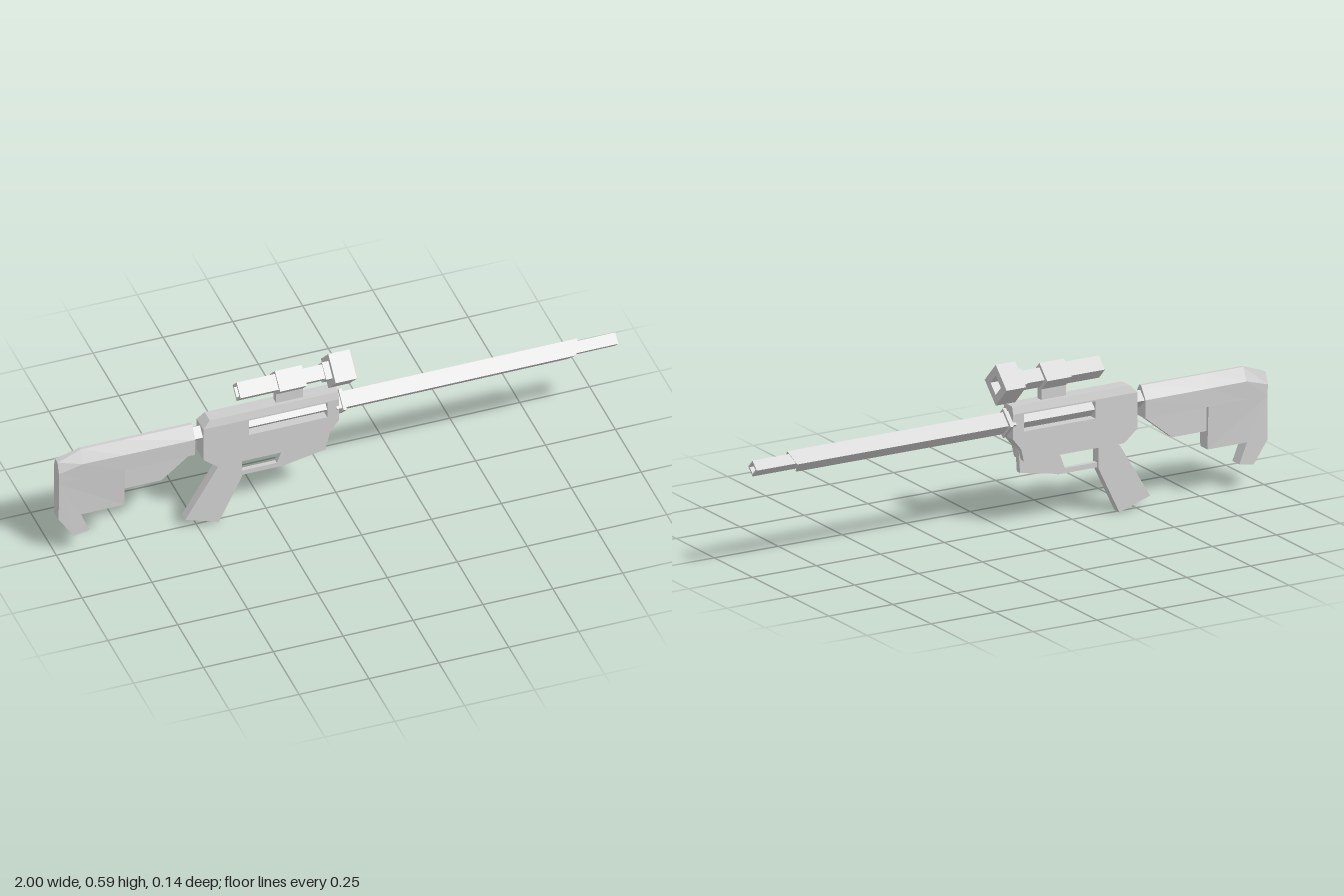
import * as THREE from 'three';

const AXIS_Y = 0.383; // barrel line
const SCOPE_Y = 0.521; // scope line

export function createModel() {
  const group = new THREE.Group();
  const material = new THREE.MeshStandardMaterial({ color: 0xcccccc, flatShading: true });

  const add = (name, geometry) => {
    const mesh = new THREE.Mesh(geometry, material);
    mesh.name = name;
    group.add(mesh);
    return mesh;
  };

  // Side outline [x, y] extruded evenly about z = 0, with an optional window
  const slab = (points, half, window) => {
    const shape = new THREE.Shape(points.map(p => new THREE.Vector2(...p)));
    if (window) shape.holes.push(new THREE.Path(window.map(p => new THREE.Vector2(...p))));
    return new THREE.ExtrudeGeometry(shape, { depth: 2 * half, bevelEnabled: false })
      .translate(0, 0, -half);
  };

  // Diamond-section tube along x from [x, radius] pairs
  const diamond = (profile, y) =>
    new THREE.LatheGeometry(profile.map(([x, r]) => new THREE.Vector2(r, x)), 4)
      .rotateZ(-Math.PI / 2).translate(0, y, 0);

  // Move every vertex by a rule
  const reshape = (geometry, rule) => {
    const p = geometry.attributes.position;
    const v = new THREE.Vector3();
    for (let i = 0; i < p.count; i++) {
      v.fromBufferAttribute(p, i);
      rule(v);
      p.setXYZ(i, v.x, v.y, v.z);
    }
    geometry.computeVertexNormals();
    return geometry;
  };

  // Closed solid from equal-length rings of [x, y, z], ordered towards +x
  const loft = rings => {
    const n = rings[0].length;
    const index = [];
    for (let r = 0; r < rings.length - 1; r++) {
      for (let i = 0; i < n; i++) {
        const j = (i + 1) % n;
        const a = r * n + i, b = r * n + j, c = a + n, d = b + n;
        index.push(a, c, b, b, c, d);
      }
    }
    const last = (rings.length - 1) * n;
    for (let i = 1; i < n - 1; i++) {
      index.push(0, i, i + 1, last, last + i + 1, last + i);
    }
    const g = new THREE.BufferGeometry();
    g.setAttribute('position', new THREE.Float32BufferAttribute(rings.flat(2), 3));
    g.setIndex(index);
    g.computeVertexNormals();
    return g;
  };

  // Receiver: lower body with a window through it, and a narrowing top
  add('receiver', slab(
    [[-0.486, 0.29], [-0.435, 0.247], [-0.042, 0.247], [-0.032, 0.29], [0, 0.33], [0, 0.418], [-0.486, 0.418]],
    0.032, [[-0.322, 0.352], [-0.322, 0.413], [-0.042, 0.413], [-0.042, 0.352]]));
  add('receiverTop', reshape(
    slab([[-0.486, 0.418], [0, 0.418], [0, 0.445], [-0.46, 0.445]], 0.032),
    v => { if (v.y > 0.43) v.z *= 0.78; }));
  add('bolt', diamond([[-0.335, 0], [-0.335, 0.03], [-0.03, 0.03], [-0.03, 0]], AXIS_Y));

  // Barrel with a slanted, recessed front end, collar and hollow muzzle
  add('barrel', reshape(
    diamond([[-0.01, 0], [-0.01, 0.039], [0.847, 0.039], [0.847, 0.035], [0.825, 0.035], [0.825, 0]], AXIS_Y),
    v => { if (v.x > 0.8) v.x += (v.y - AXIS_Y) * 0.46; }));
  add('barrelCollar', diamond([[0.009, 0], [0.009, 0.052], [0.021, 0.052], [0.021, 0]], AXIS_Y));
  add('muzzle', diamond([[0.8, 0], [0.8, 0.028], [1, 0.028], [1, 0.019], [0.95, 0.019], [0.95, 0]], AXIS_Y));

  // Grip, trigger guard and magazine
  add('grip', slab([[-0.545, 0.04], [-0.425, 0], [-0.342, 0.17], [-0.342, 0.26], [-0.41, 0.26], [-0.43, 0.23]], 0.017));
  add('triggerGuard', slab([[-0.345, 0.17], [-0.19, 0.17], [-0.19, 0.188], [-0.345, 0.188]], 0.008));
  add('magazine', slab(
    [[-0.215, 0.19], [-0.2, 0.171], [-0.04, 0.2], [-0.034, 0.285], [-0.18, 0.285], [-0.18, 0.25], [-0.198, 0.235]], 0.0105));

  // Stock: ridged upper body, tapered butt, thin brace and neck
  const ring = (x, top, shoulder, topHalf, half, bottomHalf) => [
    [x, top, topHalf], [x, top, -topHalf], [x, shoulder, -half],
    [x, 0.32, -bottomHalf], [x, 0.32, bottomHalf], [x, shoulder, half],
  ];
  add('stockBody', loft([
    ring(-1, 0.4, 0.36, 0.012, 0.025, 0.0245),
    ring(-0.915, 0.43, 0.385, 0.006, 0.03, 0.027),
    ring(-0.765, 0.43, 0.385, 0.006, 0.032, 0.0304),
    ring(-0.516, 0.43, 0.385, 0.006, 0.035, 0.033),
  ]));
  add('stockButt', reshape(
    slab([[-1, 0.32], [-1, 0.165], [-0.945, 0.085], [-0.89, 0.095], [-0.92, 0.168], [-0.765, 0.168], [-0.765, 0.32]], 1),
    v => { v.z *= 0.023 + Math.max(0, v.y - 0.165) * (0.01 + (v.x + 1) * 0.16); }));
  add('stockBrace', slab([[-0.78, 0.33], [-0.78, 0.232], [-0.63, 0.232], [-0.53, 0.312], [-0.53, 0.33]], 0.018));
  add('stockNeck', diamond([[-0.53, 0], [-0.53, 0.03], [-0.47, 0.03], [-0.47, 0]], AXIS_Y));

  // Scope: hollow stepped tube, clamp on a mount, and a wide front bell
  add('scopeTube', diamond([[-0.31, 0], [-0.31, 0.026], [-0.355, 0.026], [-0.355, 0.039],
    [-0.17, 0.039], [-0.17, 0.035], [-0.02, 0.035], [-0.02, 0]], SCOPE_Y));
  add('scopeClamp', diamond([[-0.218, 0], [-0.218, 0.051], [-0.122, 0.051], [-0.122, 0]], SCOPE_Y));
  add('scopeRing', diamond([[-0.05, 0], [-0.05, 0.043], [-0.02, 0.043], [-0.02, 0]], SCOPE_Y));
  add('scopeBell', diamond([[-0.027, 0], [-0.027, 0.072], [0.049, 0.072], [0.049, 0.034], [0.01, 0.034], [0.01, 0]], SCOPE_Y));
  add('scopeMount', new THREE.BoxGeometry(0.096, 0.06, 0.024)).position.set(-0.17, 0.468, 0);

  return group;
}
